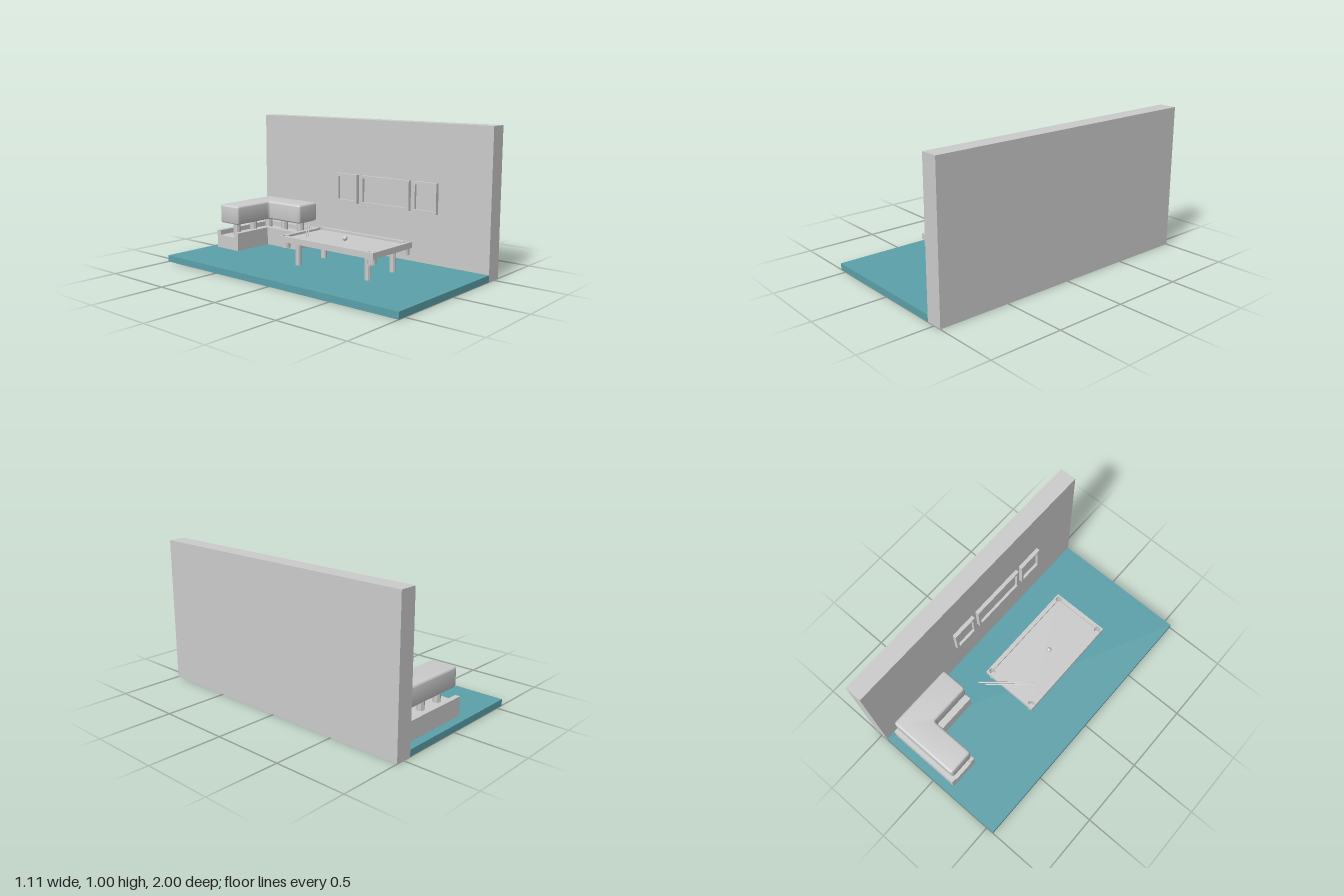
import * as THREE from 'three';
import { toCreasedNormals } from 'three/addons/utils/BufferGeometryUtils.js';

const grey = new THREE.MeshStandardMaterial({ color: 0xcccccc });
const teal = new THREE.MeshStandardMaterial({ color: 0x5ba0a9 });
const open = new THREE.MeshStandardMaterial({ color: 0xcccccc, side: THREE.DoubleSide });

function add(parent, name, geometry, material = grey) {
  const mesh = new THREE.Mesh(geometry, material);
  mesh.name = name;
  parent.add(mesh);
  return mesh;
}

function group(parent, name) {
  const g = new THREE.Group();
  g.name = name;
  parent.add(g);
  return g;
}

// Box given by its limits on each axis
function box(x0, x1, y0, y1, z0, z1) {
  return new THREE.BoxGeometry(x1 - x0, y1 - y0, z1 - z0)
    .translate((x0 + x1) / 2, (y0 + y1) / 2, (z0 + z1) / 2);
}

// Plan shape (x, z) extruded vertically from y0 to y1
function slab(shape, y0, y1, bevel = 0) {
  const g = new THREE.ExtrudeGeometry(shape, {
    depth: y1 - y0 - 2 * bevel, bevelEnabled: bevel > 0, bevelSize: bevel,
    bevelThickness: bevel, bevelOffset: -bevel, bevelSegments: 4, curveSegments: 12,
  });
  return toCreasedNormals(g.rotateX(Math.PI / 2).translate(0, y1 - bevel, 0), 0.6);
}

const polygon = (pts) => new THREE.Shape(pts.map(([x, z]) => new THREE.Vector2(x, z)));

// Polygon with every corner rounded by r
function roundedPolygon(pts, r) {
  const shape = new THREE.Shape();
  const v = pts.map(([x, z]) => new THREE.Vector2(x, z));
  v.forEach((p, i) => {
    const toward = (q) => p.clone().add(q.clone().sub(p).setLength(r));
    const a = toward(v[(i + v.length - 1) % v.length]);
    const b = toward(v[(i + 1) % v.length]);
    if (i === 0) shape.moveTo(a.x, a.y); else shape.lineTo(a.x, a.y);
    shape.quadraticCurveTo(p.x, p.y, b.x, b.y);
  });
  shape.closePath();
  return shape;
}

const cylinder = (r, y0, y1, x, z, sides = 8) =>
  new THREE.CylinderGeometry(r, r, y1 - y0, sides).translate(x, (y0 + y1) / 2, z);
const post = (...args) => toCreasedNormals(cylinder(...args), 0.5);

function buildCounter(root) {
  const counter = group(root, 'cornerCounter');
  // Base with raised rims, open at both ends
  add(counter, 'counterBase', slab(polygon([[-0.145, -0.94], [0.4, -0.94], [0.4, -0.42],
    [0.16, -0.42], [0.16, -0.72], [-0.145, -0.72]]), 0.045, 0.14));
  add(counter, 'outerRim', slab(polygon([[-0.145, -0.94], [0.4, -0.94], [0.4, -0.42],
    [0.365, -0.42], [0.365, -0.905], [-0.145, -0.905]]), 0.14, 0.175));
  add(counter, 'innerRim', slab(polygon([[-0.145, -0.72], [0.16, -0.72], [0.16, -0.42],
    [0.2, -0.42], [0.2, -0.755], [-0.145, -0.755]]), 0.14, 0.175));
  // Posts and rounded top
  for (const [x, z] of [[-0.05, -0.83], [0.118, -0.83], [0.285, -0.83], [0.285, -0.665], [0.285, -0.5]])
    add(counter, 'counterPost', post(0.027, 0.14, 0.24, x, z));
  add(counter, 'counterTop', slab(roundedPolygon([[-0.137, -0.915], [0.385, -0.915], [0.385, -0.422],
    [0.19, -0.422], [0.19, -0.727], [-0.137, -0.727]], 0.022), 0.233, 0.37, 0.015));
}

function buildTable(root) {
  const table = group(root, 'poolTable');
  table.position.set(-0.02, 0, 0.18);
  const W = 0.21, L = 0.393, px = 0.18, pz = 0.363, r = 0.021;
  const corners = [[1, 1], [-1, 1], [-1, -1], [1, -1]];
  const outline = () => polygon(corners.map(([sx, sz]) => [sx * W, sz * L]));

  // Bed with four pocket holes
  const bed = outline();
  for (const [sx, sz] of corners)
    bed.holes.push(new THREE.Path().absarc(sx * px, sz * pz, r, 0, Math.PI * 2, true));
  add(table, 'tableBed', slab(bed, 0.205, 0.23));

  // Rail whose inner edge swings round each pocket
  const rail = outline();
  const inner = new THREE.Path();
  corners.forEach(([sx, sz], i) => {
    const start = -Math.PI / 2 + i * Math.PI / 2;
    inner.absarc(sx * px, sz * pz, r, start, start + Math.PI * 1.5, false);
  });
  inner.closePath();
  rail.holes.push(inner);
  add(table, 'tableRail', slab(rail, 0.23, 0.245));

  for (const [sx, sz] of corners) {
    // Pocket cup, open at the top
    const cup = [[0, 0.163], [0.027, 0.163], [0.027, 0.205], [0.021, 0.205], [0.021, 0.168], [0, 0.168]];
    const lathe = new THREE.LatheGeometry(cup.map(([a, b]) => new THREE.Vector2(a, b)), 12);
    add(table, 'pocketCup', toCreasedNormals(lathe, 0.6), open).position.set(sx * px * 0.99, 0, sz * pz);
    add(table, 'tableLeg', post(0.02, 0.045, 0.205, sx * 0.132, sz * 0.295));
  }

  add(table, 'ball', new THREE.SphereGeometry(0.017, 24, 16).translate(-0.02, 0.254, 0.017));
}

// Tapered cue between a thin tip and a thick butt
function buildCue(root, tip, butt) {
  const a = new THREE.Vector3(...tip), b = new THREE.Vector3(...butt);
  const cue = add(root, 'cue', new THREE.CylinderGeometry(0.006, 0.003, a.distanceTo(b), 10));
  cue.position.copy(a).add(b).multiplyScalar(0.5);
  cue.quaternion.setFromUnitVectors(new THREE.Vector3(0, 1, 0), b.sub(a).normalize());
}

// Picture frame on the wall, with a recessed panel
function buildFrame(root, z0, z1) {
  const frame = group(root, 'pictureFrame');
  const y0 = 0.395, y1 = 0.605, t = 0.02, x0 = 0.405, x1 = 0.432;
  add(frame, 'frameBottom', box(x0, x1, y0, y0 + t, z0, z1));
  add(frame, 'frameTop', box(x0, x1, y1 - t, y1, z0, z1));
  add(frame, 'frameSide', box(x0, x1, y0 + t, y1 - t, z0, z0 + t));
  add(frame, 'frameSide', box(x0, x1, y0 + t, y1 - t, z1 - t, z1));
  add(frame, 'framePanel', box(0.424, x1, y0 + t, y1 - t, z0 + t, z1 - t));
}

export function createModel() {
  const root = new THREE.Group();
  root.name = 'gamesRoom';
  add(root, 'floor', box(-0.557, 0.437, 0, 0.045, -1, 1), teal);
  add(root, 'wall', box(0.437, 0.557, 0, 1, -1, 1));
  buildCounter(root);
  buildTable(root);
  buildCue(root, [-0.18, 0.249, -0.022], [0.13, 0.251, -0.288]);
  buildCue(root, [-0.13, 0.249, -0.045], [0.175, 0.251, -0.308]);
  for (const [z0, z1] of [[-0.25, -0.06], [-0.025, 0.39], [0.42, 0.61]]) buildFrame(root, z0, z1);
  return root;
}
